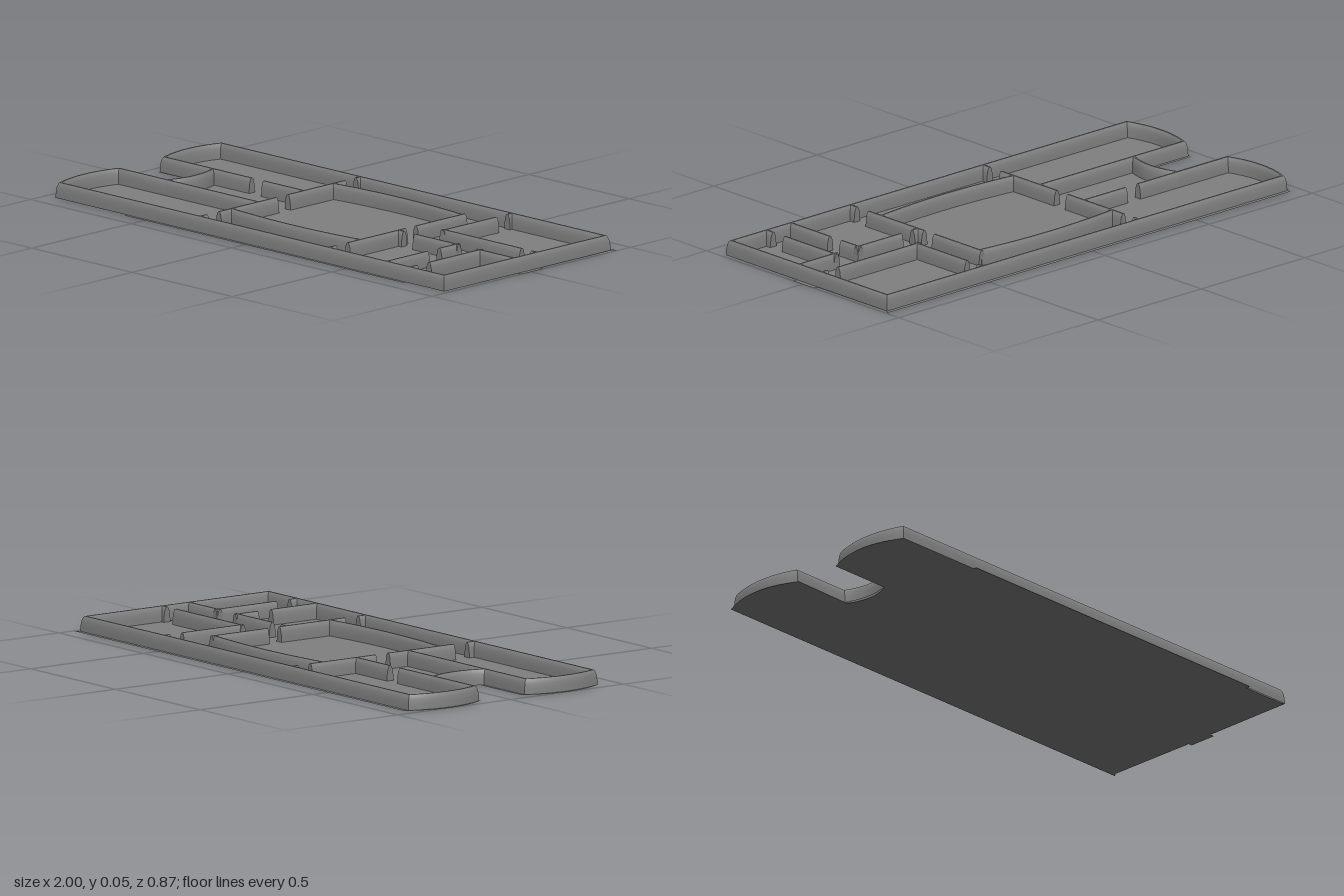
import * as THREE from 'three';
import { toCreasedNormals } from 'three/addons/utils/BufferGeometryUtils.js';

// Rounded wall section: [sideways offset, height]
const HALF = [[0.0145, 0], [0.0135, 0.02], [0.011, 0.038], [0.007, 0.05], [0.003, 0.055]];
const PROFILE = [...HALF, ...HALF.map(([s, y]) => [-s, y]).reverse()];

// Shallow curve from a to b (pairs of x, z) bulging along x and z
function arc(a, b, bx, bz, n = 14) {
  const pts = [];
  for (let i = 0; i <= n; i++) {
    const t = i / n, k = 4 * t * (1 - t);
    pts.push([a[0] + (b[0] - a[0]) * t + bx * k, a[1] + (b[1] - a[1]) * t + bz * k]);
  }
  return pts;
}

// Sweep the wall section along a path on the ground, mitred at corners
function wallGeometry(path, closed = false) {
  const n = path.length, pos = [];
  const dir = (a, b) => new THREE.Vector2(b[0] - a[0], b[1] - a[1]).normalize();
  const rings = path.map((p, i) => {
    const hasPrev = closed || i > 0, hasNext = closed || i < n - 1;
    const d0 = hasPrev ? dir(path[(i - 1 + n) % n], p) : dir(p, path[i + 1]);
    const d1 = hasNext ? dir(p, path[(i + 1) % n]) : d0;
    const d = d0.clone().add(d1).normalize();
    const m = 1 / Math.max(0.5, d.dot(d0));
    return PROFILE.map(([s, y]) => [p[0] - d.y * s * m, y, p[1] + d.x * s * m]);
  });
  const tri = (a, b, c) => pos.push(...a, ...b, ...c);
  const last = PROFILE.length - 1;
  for (let i = 0; i < (closed ? n : n - 1); i++) {
    const r = rings[i], q = rings[(i + 1) % n];
    for (let j = 0; j < last; j++) {
      tri(r[j], q[j], r[j + 1]);
      tri(q[j], q[j + 1], r[j + 1]);
    }
  }
  if (!closed) {
    const r = rings[0], q = rings[n - 1];
    for (let j = 1; j < last; j++) {
      tri(r[0], r[j], r[j + 1]);
      tri(q[0], q[j + 1], q[j]);
    }
  }
  const g = new THREE.BufferGeometry();
  g.setAttribute('position', new THREE.Float32BufferAttribute(pos, 3));
  return toCreasedNormals(g, 0.6);
}

export function createModel() {
  const model = new THREE.Group();
  model.name = 'floorPlan';
  const grey = new THREE.MeshStandardMaterial({ color: 0x808080, side: THREE.DoubleSide });
  grey.name = 'grey';

  const add = (name, geometry, parent = model) => {
    const mesh = new THREE.Mesh(geometry, grey);
    mesh.name = name;
    parent.add(mesh);
  };

  // Thin floor sheet, reaching past the walls as a narrow ledge
  const outline = [
    [0.995, -0.435],
    ...arc([-0.955, -0.435], [-0.955, -0.1], -0.045, 0),
    ...arc([-0.705, -0.105], [-0.71, 0.083], 0.025, 0),
    ...arc([-0.955, 0.083], [-0.955, 0.42], -0.045, 0),
    [-0.6, 0.42], [-0.6, 0.432], [0.79, 0.432], [0.79, 0.415], [0.981, 0.415],
    [0.983, 0.05], [1, 0.05], [1, -0.06], [0.985, -0.06], [0.983, -0.42],
  ];
  const floor = new THREE.ShapeGeometry(new THREE.Shape(outline.map(([x, z]) => new THREE.Vector2(x, -z))));
  floor.rotateX(-Math.PI / 2);
  add('floor', floor);

  // Continuous outer wall with curved ends and the entrance recess
  add('outerWall', wallGeometry([
    [0.967, -0.405],
    ...arc([-0.945, -0.405], [-0.945, -0.12], -0.027, 0),
    ...arc([-0.705, -0.12], [-0.705, 0.11], 0.025, 0),
    ...arc([-0.945, 0.11], [-0.945, 0.405], -0.027, 0),
    [0.967, 0.405],
  ], true));

  // Partitions running front to back: x, then [start z, end z] spans between doorways
  const inner = new THREE.Group();
  inner.name = 'innerWalls';
  model.add(inner);
  const alongZ = [
    [-0.25, [[-0.405, -0.38], [-0.325, -0.037], [0.02, 0.31], [0.37, 0.405]]],
    [0.392, [[-0.28, -0.033], [0.02, 0.31], [0.37, 0.405]]],
    [0.505, [[-0.405, -0.38], [-0.325, -0.055]]],
    [0.68, [[0.04, 0.14], [0.2, 0.405]]],
    [0.797, [[0.04, 0.31], [0.37, 0.405]]],
  ];
  // Partitions running side to side: z, then [start x, end x] spans
  const alongX = [
    [-0.12, [[-0.705, -0.51], [-0.45, -0.25]]],
    [0.11, [[-0.705, -0.25]]],
    [-0.065, [[0.492, 0.89], [0.94, 0.967]]],
    [0.053, [[0.392, 0.42], [0.475, 0.693], [0.783, 0.967]]],
  ];
  for (const [x, spans] of alongZ)
    for (const [a, b] of spans) add('crossPartition', wallGeometry([[x, a], [x, b]]), inner);
  for (const [z, spans] of alongX)
    for (const [a, b] of spans) add('longPartition', wallGeometry([[a, z], [b, z]]), inner);

  // Bowed walls of the central hall
  add('hallBackWall', wallGeometry(arc([-0.25, -0.267], [0.392, -0.267], 0, -0.02)), inner);
  add('hallFrontWall', wallGeometry(arc([-0.25, 0.245], [0.392, 0.245], 0, 0.02)), inner);

  return model;
}
